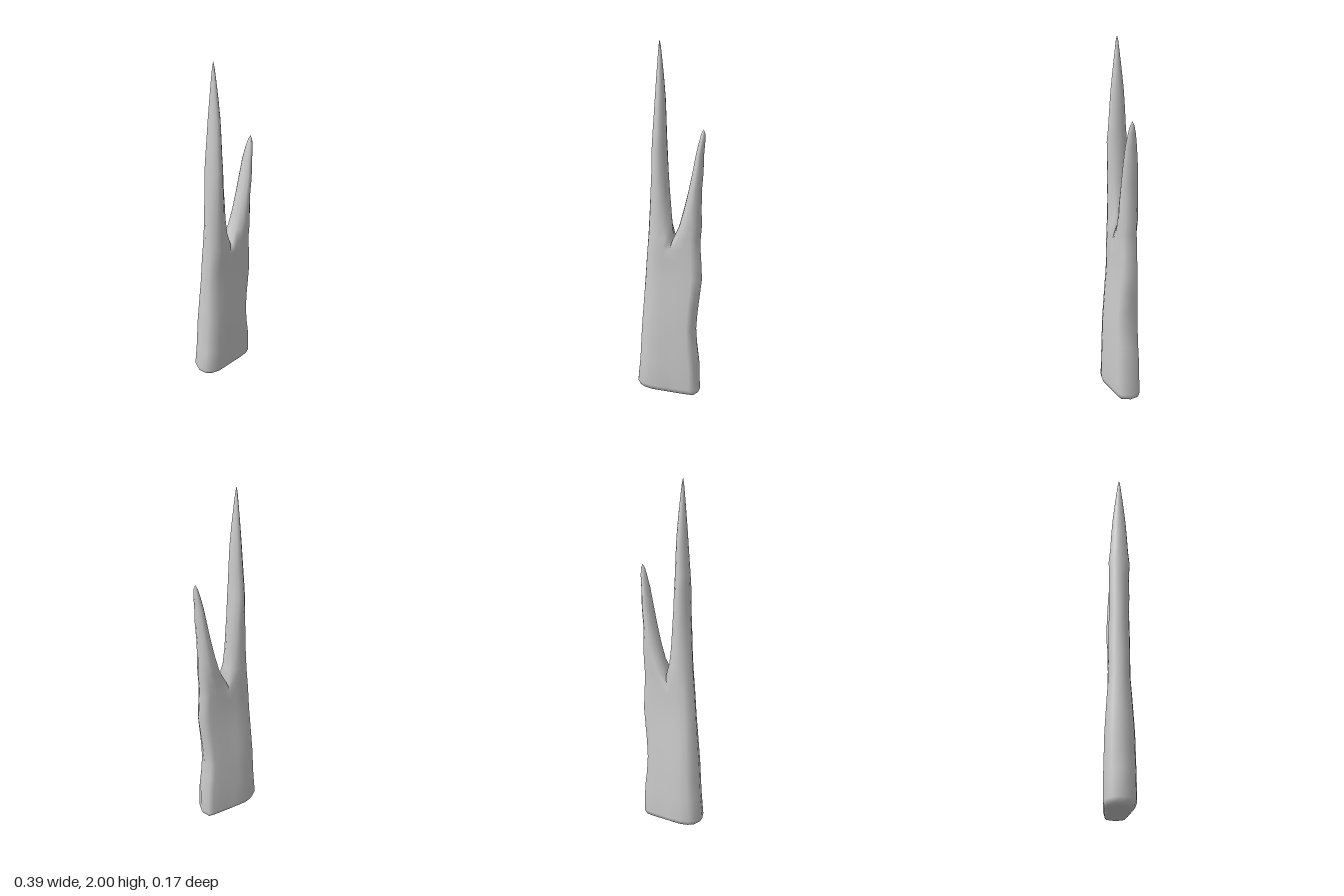
import * as THREE from 'three';
import { mergeVertices } from 'three/addons/utils/BufferGeometryUtils.js';

// Rows shared by both halves up to the fork: y, left edge, right edge, seam x, half depth
const BODY = [
  [0.010, -0.165, 0.145, 0.0, 0.055],
  [0.018, -0.185, 0.17, 0.0, 0.074],
  [0.045, -0.199, 0.181, 0.0, 0.084],
  [0.20, -0.184, 0.176, 0.0, 0.083],
  [0.30, -0.178, 0.162, 0.0, 0.081],
  [0.40, -0.172, 0.155, 0.0, 0.079],
  [0.50, -0.164, 0.162, 0.0, 0.073],
  [0.60, -0.156, 0.174, 0.002, 0.067],
  [0.70, -0.148, 0.186, 0.004, 0.060],
  [0.80, -0.141, 0.181, 0.006, 0.059],
  [0.87, -0.135, 0.176, 0.009, 0.060],
];
// Prong rows above the fork: y, outer x, inner x, half depth
const TALL = [
  [0.93, -0.130, 0.020, 0.060], [1.00, -0.126, 0.013, 0.058],
  [1.10, -0.120, 0.005, 0.056], [1.20, -0.115, -0.003, 0.058],
  [1.30, -0.109, -0.011, 0.057], [1.42, -0.105, -0.018, 0.060],
  [1.50, -0.101, -0.021, 0.052], [1.60, -0.093, -0.024, 0.046],
  [1.70, -0.086, -0.028, 0.039], [1.80, -0.079, -0.036, 0.028],
  [1.90, -0.071, -0.046, 0.016], [1.97, -0.065, -0.054, 0.007],
  [2.00, -0.060, -0.060, 0],
];
const SHORT = [
  [0.93, 0.176, 0.026, 0.057], [1.00, 0.182, 0.053, 0.055],
  [1.10, 0.180, 0.080, 0.052], [1.20, 0.180, 0.105, 0.047],
  [1.30, 0.188, 0.126, 0.042], [1.40, 0.190, 0.145, 0.033],
  [1.47, 0.196, 0.162, 0.022], [1.51, 0.196, 0.173, 0.012],
  [1.535, 0.187, 0.187, 0],
];
// Half outlines from outer edge to inner edge: [across, depth]
const LEFT_BODY = [[0, 0], [0.09, 0.6], [0.26, 0.88], [0.5, 1], [0.78, 0.95], [1, 0.9], [1, 0]];
const RIGHT_BODY = [[0, 0], [0.1, 0.64], [0.28, 0.73], [0.52, 0.8], [0.78, 0.85], [1, 0.9], [1, 0]];
const PRONG = [[0, 0], [0.1, 0.55], [0.3, 0.9], [0.5, 1], [0.7, 0.9], [0.9, 0.55], [1, 0]];

// Lofts one half of the slab into its prong, leaving the shared seam open
function addHalf(positions, indices, side, prongRows, bodyOutline) {
  const rows = BODY.map(([y, l, r, s, d]) => [y, side < 0 ? l : r, s, d]).concat(prongRows);
  const last = PRONG.length - 1, n = last * 2, fork = BODY.length - 1;
  const base = positions.length / 3;
  rows.forEach(([y, outer, inner, depth], j) => {
    const t = THREE.MathUtils.smoothstep(y, 0.87, 1.05);
    for (let i = 0; i < n; i++) {
      const k = i <= last ? i : n - i;
      const u = THREE.MathUtils.lerp(bodyOutline[k][0], PRONG[k][0], t);
      const w = THREE.MathUtils.lerp(bodyOutline[k][1], PRONG[k][1], t);
      const x = outer + (inner - outer) * u;
      const tilt = j < 3 ? -0.06 * x : 0; // slanted foot
      positions.push(x, y + tilt, (i <= last ? 1 : -1) * w * depth);
    }
  });
  const tri = (a, b, c) => (side < 0 ? indices.push(a, b, c) : indices.push(a, c, b));
  for (let j = 0; j < rows.length - 1; j++) {
    for (let i = 0; i < n; i++) {
      if (j < fork && (i === last - 1 || i === last)) continue;
      const a = base + j * n + i, b = base + j * n + (i + 1) % n;
      if (j < rows.length - 2) tri(a, b, b + n);
      else { tri(a, b, a + n); continue; }
      tri(a, b + n, a + n);
    }
  }
  // Underside, fanned from the middle of the seam
  for (let i = 0; i < n; i++) {
    if (i === last - 1 || i === last) continue;
    tri(base + last, base + (i + 1) % n, base + i);
  }
}

export function createModel() {
  const group = new THREE.Group();
  group.name = 'forkedSpike';
  const positions = [], indices = [];
  addHalf(positions, indices, -1, TALL, LEFT_BODY);
  addHalf(positions, indices, 1, SHORT, RIGHT_BODY);

  let geometry = new THREE.BufferGeometry();
  geometry.setAttribute('position', new THREE.Float32BufferAttribute(positions, 3));
  geometry.setIndex(indices);
  geometry = mergeVertices(geometry, 1e-5);
  geometry.computeVertexNormals();

  const mesh = new THREE.Mesh(geometry, new THREE.MeshStandardMaterial({ color: 0xcccccc }));
  mesh.name = 'forkedShard';
  group.add(mesh);
  return group;
}
